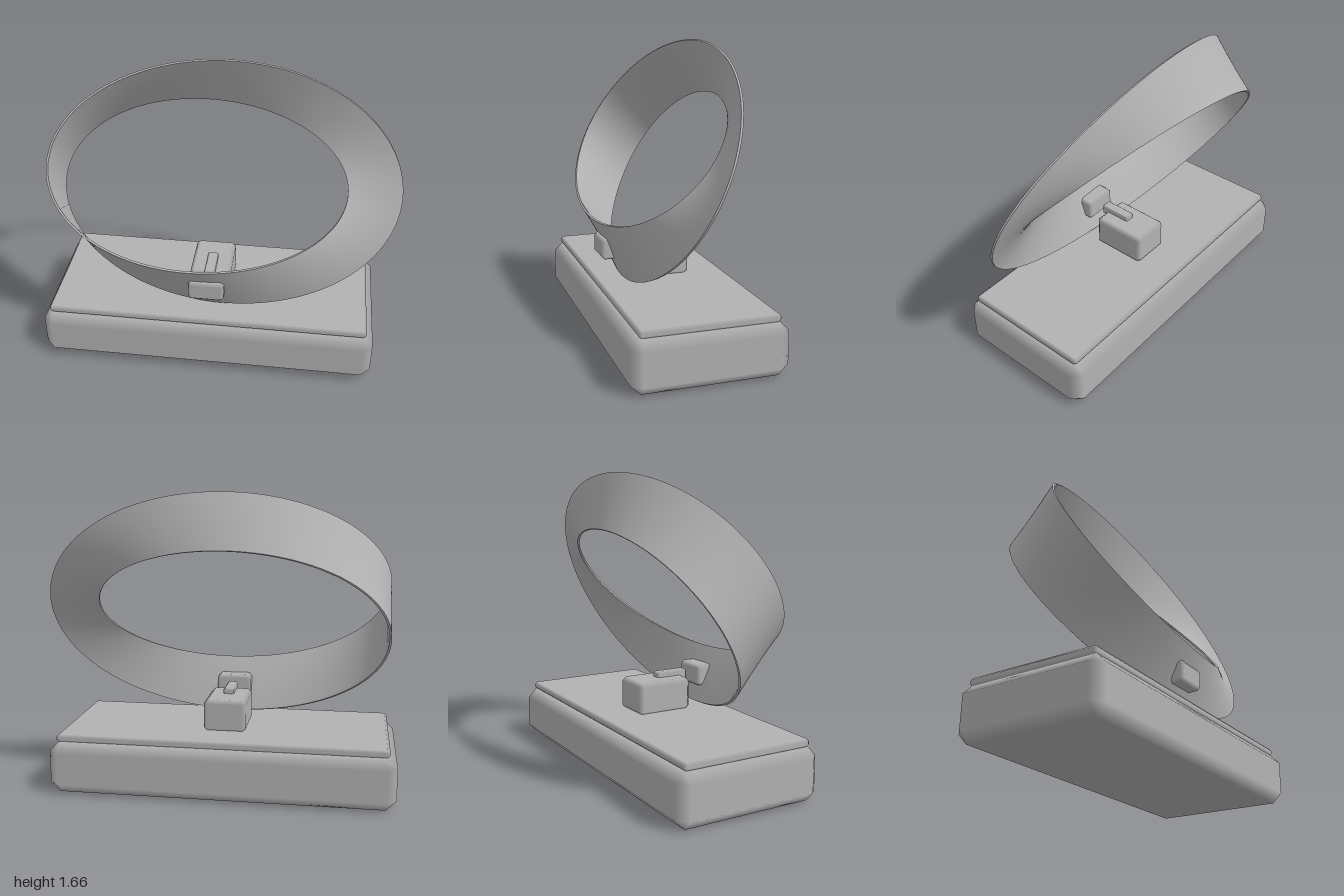
import * as THREE from 'three';
import { ConvexGeometry } from 'three/addons/geometries/ConvexGeometry.js';
import { ParametricGeometry } from 'three/addons/geometries/ParametricGeometry.js';

const CENTRE_X = -0.05;

// Box with flat faces and smoothly shaded chamfers
function chamferBox(w, h, d, bevel) {
  const half = [w / 2, h / 2, d / 2];
  const points = [];
  for (let axis = 0; axis < 3; axis++)
    for (const sx of [-1, 1])
      for (const sy of [-1, 1])
        for (const sz of [-1, 1]) {
          const p = [sx, sy, sz].map((s, i) => s * (half[i] - (i === axis ? 0 : bevel)));
          points.push(new THREE.Vector3(...p));
        }
  const geometry = new ConvexGeometry(points);
  const pos = geometry.attributes.position;
  const normal = geometry.attributes.normal;
  for (let i = 0; i < pos.count; i++) {
    const p = [pos.getX(i), pos.getY(i), pos.getZ(i)];
    const n = p.map((c, k) => (Math.abs(c) > half[k] - 1e-5 ? Math.sign(c) : 0));
    normal.setXYZ(i, ...n);
  }
  return geometry;
}

// Half-twist band: centre line is an ellipse, v runs across the width (-1..1)
const RADIUS = { x: 0.895, y: 0.578 };
const WIDTH = { x: 0.148, y: 0.139, z: 0.183 };
const THICK = 0.006;

function bandPoint(a, v) {
  const c = v * Math.cos(a / 2);
  return new THREE.Vector3(
    (RADIUS.x + WIDTH.x * c) * Math.cos(a),
    (RADIUS.y + WIDTH.y * c) * Math.sin(a),
    WIDTH.z * v * Math.sin(a / 2)
  );
}

function bandNormal(a, v) {
  const e = 1e-3;
  const along = bandPoint(a + e, v).sub(bandPoint(a - e, v));
  const across = bandPoint(a, v + e).sub(bandPoint(a, v - e));
  return along.cross(across).normalize();
}

function bandSurface(a, v, offset, target) {
  target.copy(bandPoint(a, v)).addScaledVector(bandNormal(a, v), offset);
}

export function createModel() {
  const model = new THREE.Group();
  model.name = 'twistedRingOnStand';

  const grey = new THREE.MeshStandardMaterial({ color: 0xb2b2b2 });
  grey.name = 'plain grey';

  const add = (name, geometry, x = 0, y = 0, z = 0, parent = model) => {
    const mesh = new THREE.Mesh(geometry, grey);
    mesh.name = name;
    mesh.position.set(x, y, z);
    parent.add(mesh);
    return mesh;
  };

  // Stand
  add('base', chamferBox(1.9, 0.29, 0.84, 0.055), CENTRE_X, 0.145, 0);
  add('topPlate', chamferBox(1.82, 0.045, 0.75, 0.015), CENTRE_X, 0.3075, 0);

  // Support: block, arm and the clamp that grips the band
  add('supportBlock', chamferBox(0.235, 0.185, 0.325, 0.022), CENTRE_X, 0.4125, 0);
  add('supportArm', chamferBox(0.06, 0.06, 0.19, 0.008), CENTRE_X, 0.505, 0.095);
  add('clamp', chamferBox(0.2, 0.12, 0.12, 0.018), CENTRE_X, 0.503, 0.284);

  // Two turns cover both faces of the one-sided band, and its single rim
  const ring = new THREE.Group();
  ring.name = 'twistedRing';
  ring.position.set(CENTRE_X, 1.003, 0);
  ring.rotation.x = -Math.PI / 6;
  model.add(ring);

  const turns = Math.PI * 4;
  const face = (u, v, t) => bandSurface(u * turns, v * 2 - 1, THICK, t);
  const rim = (u, v, t) => bandSurface(u * turns, 1, THICK * (1 - 2 * v), t);
  add('bandFaces', new ParametricGeometry(face, 320, 8), 0, 0, 0, ring);
  add('bandRim', new ParametricGeometry(rim, 320, 1), 0, 0, 0, ring);

  return model;
}
